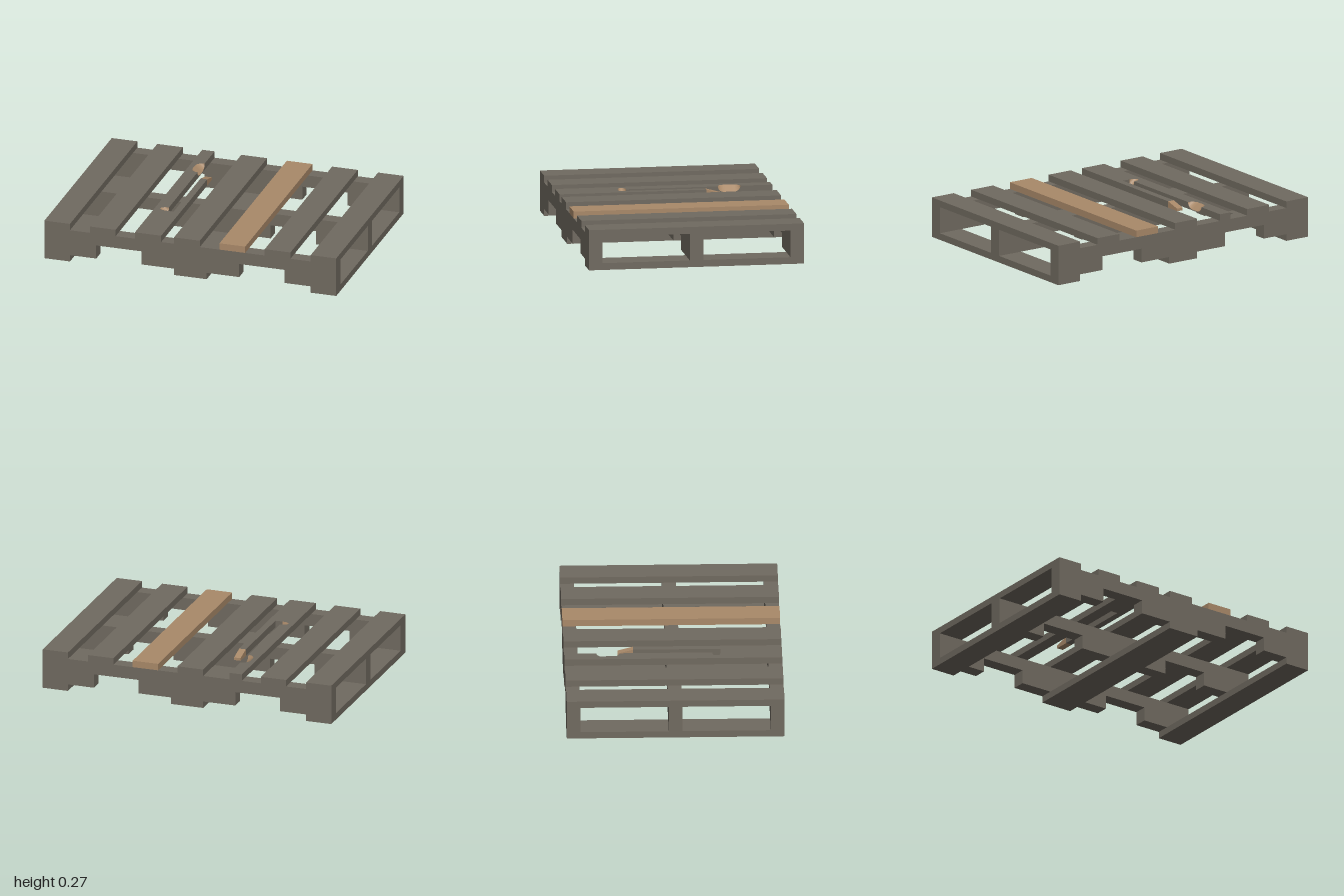
import * as THREE from 'three';

const HALF_Z = 0.71, DECK_Y = 0.222, TOP_Y = 0.267, BASE_Y = 0.045;

export function createModel() {
  const group = new THREE.Group();
  const weathered = new THREE.MeshStandardMaterial({ color: 0x706a60 });
  weathered.name = 'weatheredWood';
  const fresh = new THREE.MeshStandardMaterial({ color: 0xa98969 });
  fresh.name = 'freshWood';

  const add = (name, geometry, material) => {
    const mesh = new THREE.Mesh(geometry, material);
    mesh.name = name;
    group.add(mesh);
    return mesh;
  };
  const box = (name, x0, x1, y0, y1, z0, z1, material = weathered) =>
    add(name, new THREE.BoxGeometry(x1 - x0, y1 - y0, z1 - z0), material)
      .position.set((x0 + x1) / 2, (y0 + y1) / 2, (z0 + z1) / 2);

  // Bottom boards
  for (const [x0, x1] of [[-1, -0.825], [-0.112, 0.112], [0.825, 1]])
    box('bottomBoard', x0, x1, 0, BASE_Y, -HALF_Z, HALF_Z);

  // Stringers with two fork notches each
  const side = new THREE.Shape([
    [-1, BASE_Y], [-0.645, BASE_Y], [-0.645, 0.138], [-0.335, 0.138], [-0.335, BASE_Y],
    [0.335, BASE_Y], [0.335, 0.138], [0.645, 0.138], [0.645, BASE_Y],
    [1, BASE_Y], [1, DECK_Y], [-1, DECK_Y],
  ].map(([x, y]) => new THREE.Vector2(x, y)));
  for (const z of [-HALF_Z, -0.045, HALF_Z - 0.09])
    add('stringer', new THREE.ExtrudeGeometry(side, { depth: 0.09, bevelEnabled: false }), weathered)
      .position.z = z;

  // Whole deck boards, one of them newly replaced
  for (const [x0, x1] of [[-1, -0.825], [-0.688, -0.512], [-0.112, 0.065], [0.51, 0.686], [0.825, 1]])
    box('deckBoard', x0, x1, DECK_Y, TOP_Y, -HALF_Z, HALF_Z);
  box('replacementBoard', 0.2, 0.376, DECK_Y, TOP_Y, -HALF_Z, HALF_Z, fresh);

  // Broken deck board: sound end and loose splinter
  const splitZ = 0.31, left = -0.38, inner = -0.295;
  box('brokenBoardEnd', left, -0.2, DECK_Y, TOP_Y, splitZ, HALF_Z);
  box('splinter', -0.245, -0.2, DECK_Y, TOP_Y, -0.26, splitZ);

  // Slanted tip of the splinter, drawn in z and y and extruded across x
  const tip = new THREE.Shape([
    [-0.36, DECK_Y], [-0.26, DECK_Y], [-0.26, TOP_Y], [-0.36, 0.24],
  ].map(([z, y]) => new THREE.Vector2(z, y)));
  const tipGeometry = new THREE.ExtrudeGeometry(tip, { depth: 0.045, bevelEnabled: false });
  tipGeometry.rotateY(-Math.PI / 2);
  add('splinterTip', tipGeometry, fresh).position.x = -0.2;

  // Remaining strip: cross-sections along z, with rounded chips in the inner edge
  const chips = [[-0.5, -0.35, 0.05], [0.255, splitZ, 0.0275]];
  const sections = [{ z: -HALF_Z, w: 0 }];
  for (const [z0, z1, r] of chips) {
    const round = [];
    for (let i = 0; i <= 8; i++) {
      const a = (i / 8) * Math.PI / 2;
      round.push({ d: r * (1 - Math.cos(a)), w: i === 0 ? 0 : 0.05 * Math.sin(a) });
    }
    for (const p of round) sections.push({ z: z0 + p.d, w: p.w });
    for (const p of round.slice().reverse()) sections.push({ z: z1 - p.d, w: p.w });
  }
  const outline = ({ z, w }) => [
    [left, DECK_Y, z], [inner, DECK_Y, z], [inner, TOP_Y - w * 0.8, z],
    [inner - w, TOP_Y, z], [left, TOP_Y, z],
  ];
  const wood = [], chipped = [];
  for (let i = 0; i < sections.length - 1; i++) {
    const s = sections[i], t = sections[i + 1];
    if (t.z - s.z < 1e-6) continue;
    const a = outline(s), b = outline(t);
    for (let k = 0; k < 5; k++) {
      if (k === 2 && s.w + t.w === 0) continue;
      const n = (k + 1) % 5;
      (k === 2 ? chipped : wood).push(...a[k], ...a[n], ...b[n], ...a[k], ...b[n], ...b[k]);
    }
  }
  const [A, B, , D, E] = outline(sections[0]);
  wood.push(...A, ...E, ...D, ...A, ...D, ...B);
  const fromTriangles = (points) => {
    const geometry = new THREE.BufferGeometry();
    geometry.setAttribute('position', new THREE.Float32BufferAttribute(points, 3));
    geometry.computeVertexNormals();
    return geometry;
  };
  add('brokenBoardStrip', fromTriangles(wood), weathered);
  add('chippedEdges', fromTriangles(chipped), fresh);

  return group;
}
